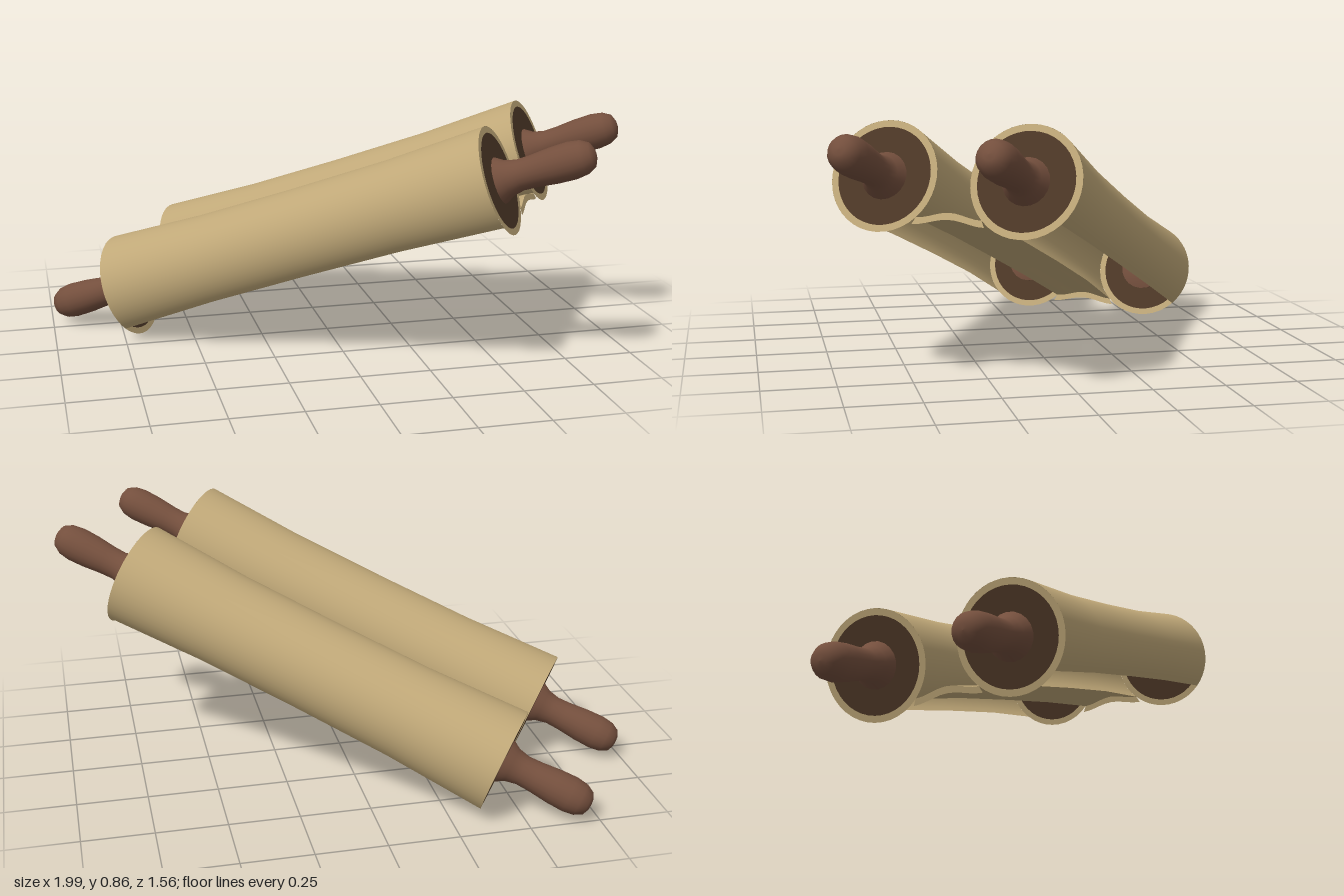
import * as THREE from 'three';

const HALF = 0.74;      // half length of the rolls
const GAP = 0.247;      // distance of each roll axis from the middle
const R = 0.188, RIM = 0.023;

const paper = new THREE.MeshStandardMaterial({ color: 0xc0a878, side: THREE.DoubleSide });
paper.name = 'parchment';
const wood = new THREE.MeshStandardMaterial({ color: 0x744f3d });
wood.name = 'handleWood';
const dark = new THREE.MeshStandardMaterial({ color: 0x4d3827, side: THREE.DoubleSide });
dark.name = 'darkCore';

// rolls are slightly waisted: radius factor at each station along the length
const stations = [[-1, 1], [-0.5, 0.915], [0, 0.9], [0.5, 0.915], [1, 1]];

function add(parent, geometry, material, name) {
  const mesh = new THREE.Mesh(geometry, material);
  mesh.name = name;
  parent.add(mesh);
  return mesh;
}

// sweeps a cross-section, given per radius factor, along z
function sweep(section) {
  const pos = [], index = [];
  let n = 0;
  for (const [t, k] of stations) {
    const pts = section(k);
    n = pts.length;
    for (const [x, y] of pts) pos.push(x, y, t * HALF);
  }
  for (let j = 0; j < stations.length - 1; j++) {
    for (let i = 0; i < n - 1; i++) {
      const a = j * n + i, b = a + n;
      index.push(a, b, a + 1, a + 1, b, b + 1);
    }
  }
  const g = new THREE.BufferGeometry();
  g.setAttribute('position', new THREE.Float32BufferAttribute(pos, 3));
  g.setIndex(index);
  g.computeVertexNormals();
  return g;
}

// three-quarter curl, open at the bottom
function curl(k) {
  const pts = [];
  for (let i = 0; i <= 36; i++) {
    const a = Math.PI * (1.25 - 1.5 * i / 36);
    pts.push([R * k * Math.cos(a), R * k * Math.sin(a)]);
  }
  return pts;
}

// sheet between the rolls, arched a little in the middle
function sheet(k) {
  const c = R * k * Math.SQRT1_2, e = GAP - c, pts = [];
  for (let i = 0; i <= 10; i++) {
    const u = i / 5 - 1;
    pts.push([u * e, -c + 0.02 * (0.5 + 0.5 * Math.cos(Math.PI * u))]);
  }
  return pts;
}

// turned handle, measured outward from the roll end
const handleProfile = [
  [0, -0.03], [0.085, -0.03], [0.08, 0], [0.062, 0.03], [0.053, 0.07], [0.055, 0.12],
  [0.062, 0.19], [0.064, 0.25], [0.058, 0.29], [0.042, 0.318], [0.02, 0.328], [0, 0.33],
].map(([x, y]) => new THREE.Vector2(x, y));

export function createModel() {
  const model = new THREE.Group();
  model.name = 'scroll';
  const body = new THREE.Group();
  body.name = 'tiltedScroll';
  body.rotation.set(-0.352, 1.003, 0, 'YXZ');
  body.position.y = 0.435;
  model.add(body);

  const curlGeo = sweep(curl);
  const rimGeo = new THREE.RingGeometry(R - RIM, R, 40);
  const coreGeo = new THREE.CircleGeometry(R - RIM, 40);
  const handleGeo = new THREE.LatheGeometry(handleProfile, 20);

  for (const side of [-1, 1]) {
    const roll = new THREE.Group();
    roll.name = side < 0 ? 'frontRoll' : 'backRoll';
    roll.position.x = side * GAP;
    body.add(roll);
    add(roll, curlGeo, paper, 'rolledParchment');
    // the two ends of each roll
    for (const end of [-1, 1]) {
      const cap = new THREE.Group();
      cap.name = end < 0 ? 'lowerEnd' : 'upperEnd';
      cap.position.z = end * HALF;
      if (end < 0) cap.rotation.y = Math.PI;
      roll.add(cap);
      add(cap, rimGeo, paper, 'rim');
      add(cap, coreGeo, dark, 'core');
      add(cap, handleGeo, wood, 'handle').rotation.x = Math.PI / 2;
    }
  }

  // middle sheet and its edge strips
  add(body, sweep(sheet), paper, 'middleSheet');
  const top = sheet(1).map(([x, y]) => new THREE.Vector2(x, y));
  const low = top.map(p => new THREE.Vector2(p.x * 1.1, p.y - RIM)).reverse();
  const edgeGeo = new THREE.ShapeGeometry(new THREE.Shape([...top, ...low]));
  for (const end of [-1, 1]) {
    const edge = add(body, edgeGeo, paper, 'sheetEdge');
    edge.position.z = end * HALF;
    if (end < 0) edge.rotation.y = Math.PI;
  }
  return model;
}
